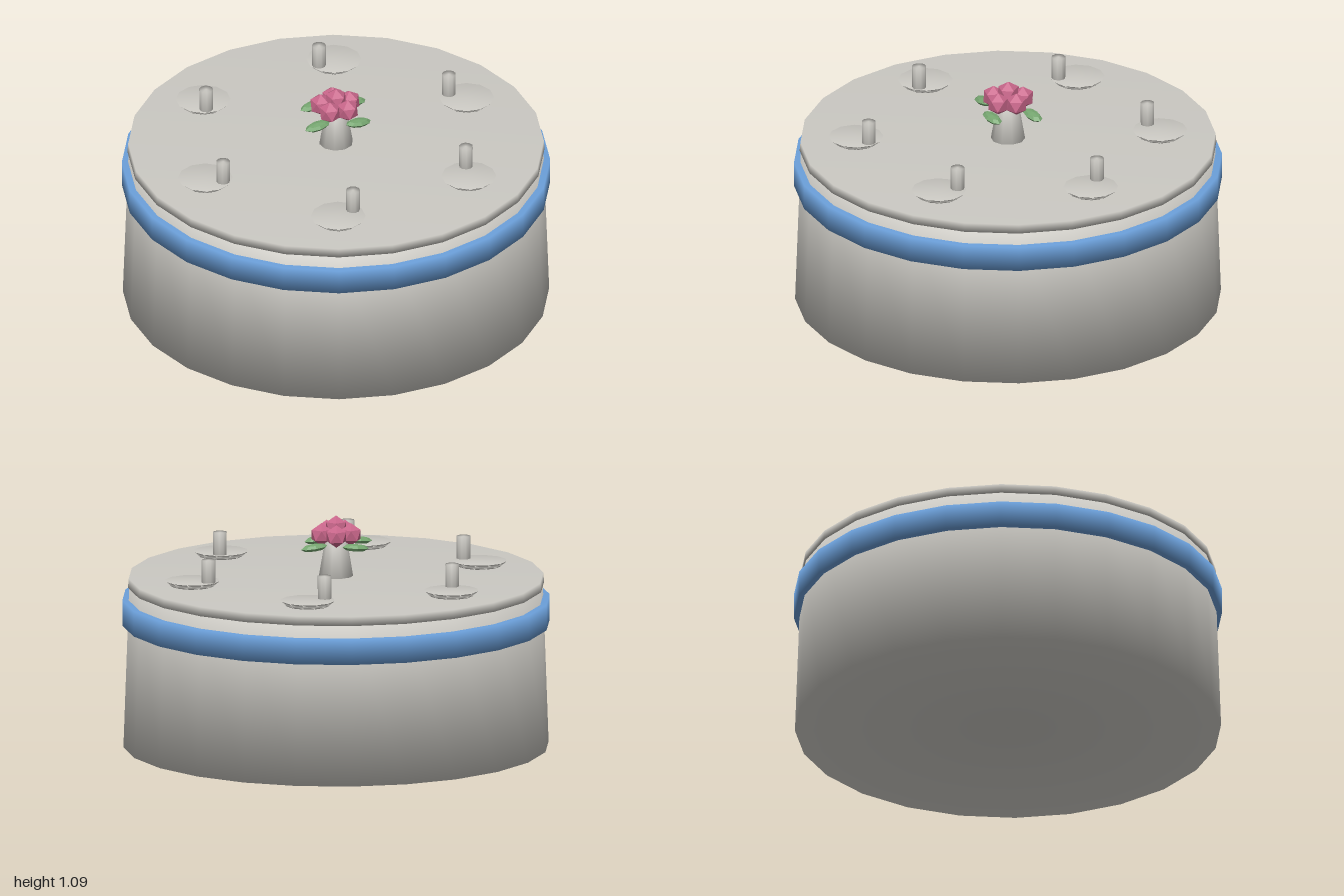
import * as THREE from 'three';

const mat = (name, color, flatShading = false) => {
  const m = new THREE.MeshStandardMaterial({ color, flatShading });
  m.name = name;
  return m;
};

export function createModel() {
  const linen = mat('linen', 0xcac8c2);
  const blue = mat('ribbonBlue', 0x6b9fd9);
  const pink = mat('petalPink', 0xc8668a, true);
  const green = mat('leafGreen', 0x76a670, true);

  const add = (parent, name, geometry, material, x = 0, y = 0, z = 0) => {
    const mesh = new THREE.Mesh(geometry, material);
    mesh.name = name;
    mesh.position.set(x, y, z);
    parent.add(mesh);
    return mesh;
  };
  // Closed round part with normals that blend softly over the rims
  const drum = (rBottom, rTop, y0, y1, sides) => new THREE.LatheGeometry(
    [[0, y0], [rBottom, y0], [rTop, y1], [0, y1]].map(p => new THREE.Vector2(...p)), sides);

  const model = new THREE.Group();
  model.name = 'banquetTable';

  // Draped table
  add(model, 'tablecloth', drum(0.995, 0.968, 0, 0.76, 24), linen);
  add(model, 'ribbon', drum(1, 1, 0.58, 0.7, 24), blue);
  add(model, 'tableTop', drum(0.974, 0.97, 0.76, 0.803, 24), linen);

  // Six place settings
  const plate = drum(0.1, 0.128, 0.803, 0.828, 12);
  const cup = drum(0.032, 0.033, 0.82, 0.935, 10);
  for (let i = 0; i < 6; i++) {
    const setting = new THREE.Group();
    setting.name = 'placeSetting' + (i + 1);
    setting.rotation.y = -i * Math.PI / 3;
    add(setting, 'plate', plate, linen, 0.71);
    add(setting, 'cup', cup, linen, 0.655, 0, -0.07);
    model.add(setting);
  }

  // Centrepiece: vase, blossoms and leaves
  const centre = new THREE.Group();
  centre.name = 'centrepiece';
  model.add(centre);
  add(centre, 'vase', drum(0.08, 0.052, 0.803, 0.97, 10), linen);

  const blossom = new THREE.IcosahedronGeometry(0.054, 0);
  blossom.rotateZ(-Math.atan(2 / (1 + Math.sqrt(5))));
  add(centre, 'blossomTop', blossom, pink, 0, 1.036, 0);
  for (let i = 0; i < 5; i++) {
    const a = i * Math.PI * 2 / 5;
    add(centre, 'blossom' + (i + 1), blossom, pink,
      0.072 * Math.cos(a), 1.004, 0.072 * Math.sin(a));
  }

  const leaf = new THREE.SphereGeometry(1, 8, 4);
  leaf.scale(0.066, 0.018, 0.034);
  [[0.127, -0.055], [0.05, 0.12], [-0.13, 0.05], [-0.055, -0.12]].forEach(([x, z], i) => {
    const mesh = add(centre, 'leaf' + (i + 1), leaf, green, x, 0.955, z);
    mesh.rotation.z = -Math.sign(x) * 0.1;
  });

  return model;
}
